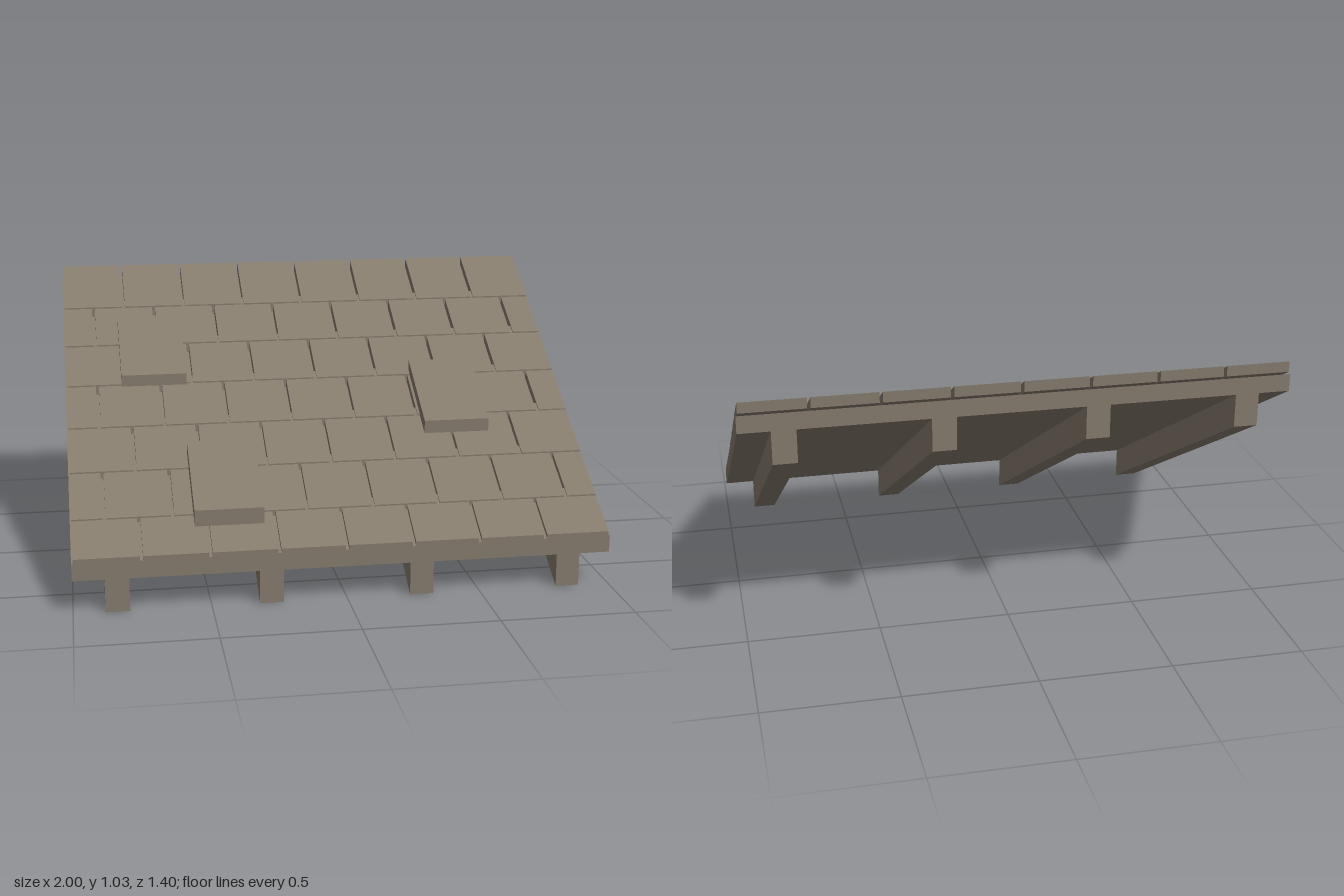
import * as THREE from 'three';

const SLOPE = 0.568;   // rise per unit of depth
const HALF_DEPTH = 0.7;

const slate = new THREE.MeshStandardMaterial({ color: 0x857b6d });
slate.name = 'weathered brown';

// Box with plumb ends that follows the roof pitch; heights are above the eave line.
function pitched(name, x0, x1, y0, y1, zBack, zFront) {
  const g = new THREE.BoxGeometry(x1 - x0, y1 - y0, zFront - zBack);
  g.translate((x0 + x1) / 2, (y0 + y1) / 2, (zBack + zFront) / 2);
  const p = g.attributes.position;
  for (let i = 0; i < p.count; i++) {
    p.setY(i, p.getY(i) + SLOPE * (HALF_DEPTH - p.getZ(i)));
  }
  g.computeVertexNormals();
  const mesh = new THREE.Mesh(g, slate);
  mesh.name = name;
  return mesh;
}

export function createModel() {
  const roof = new THREE.Group();
  roof.name = 'roofSection';

  // Rafters under the deck
  for (const x of [-0.84, -0.28, 0.28, 0.84]) {
    roof.add(pitched('rafter', x - 0.044, x + 0.044, 0, 0.125, -HALF_DEPTH, HALF_DEPTH));
  }

  // Roof deck
  roof.add(pitched('deck', -1, 1, 0.125, 0.19, -HALF_DEPTH, HALF_DEPTH));

  // Seven staggered, overlapping courses, each a little higher than the last
  const shingles = new THREE.Group();
  shingles.name = 'shingles';
  const gap = 0.006;
  for (let row = 0; row < 7; row++) {
    const zBack = 0.5 - 0.2 * row;
    const zFront = Math.min(HALF_DEPTH, zBack + 0.24);
    const lift = 0.0055 * row;
    const shift = row % 2 ? 0.125 : 0;
    for (let x = -1 - shift; x < 0.99; x += 0.25) {
      const left = Math.max(-1, x), right = Math.min(1, x + 0.25);
      shingles.add(pitched('shingle', left + gap, right - gap,
        0.166 + lift, 0.206 + lift, zBack, zFront));
    }
  }
  roof.add(shingles);

  // Raised loose slabs: x centre, z centre
  for (const [x, z] of [[-0.65, -0.21], [0.52, 0.072], [-0.42, 0.433]]) {
    roof.add(pitched('raisedSlab', x - 0.129, x + 0.129, 0.205, 0.267, z - 0.155, z + 0.155));
  }

  return roof;
}
